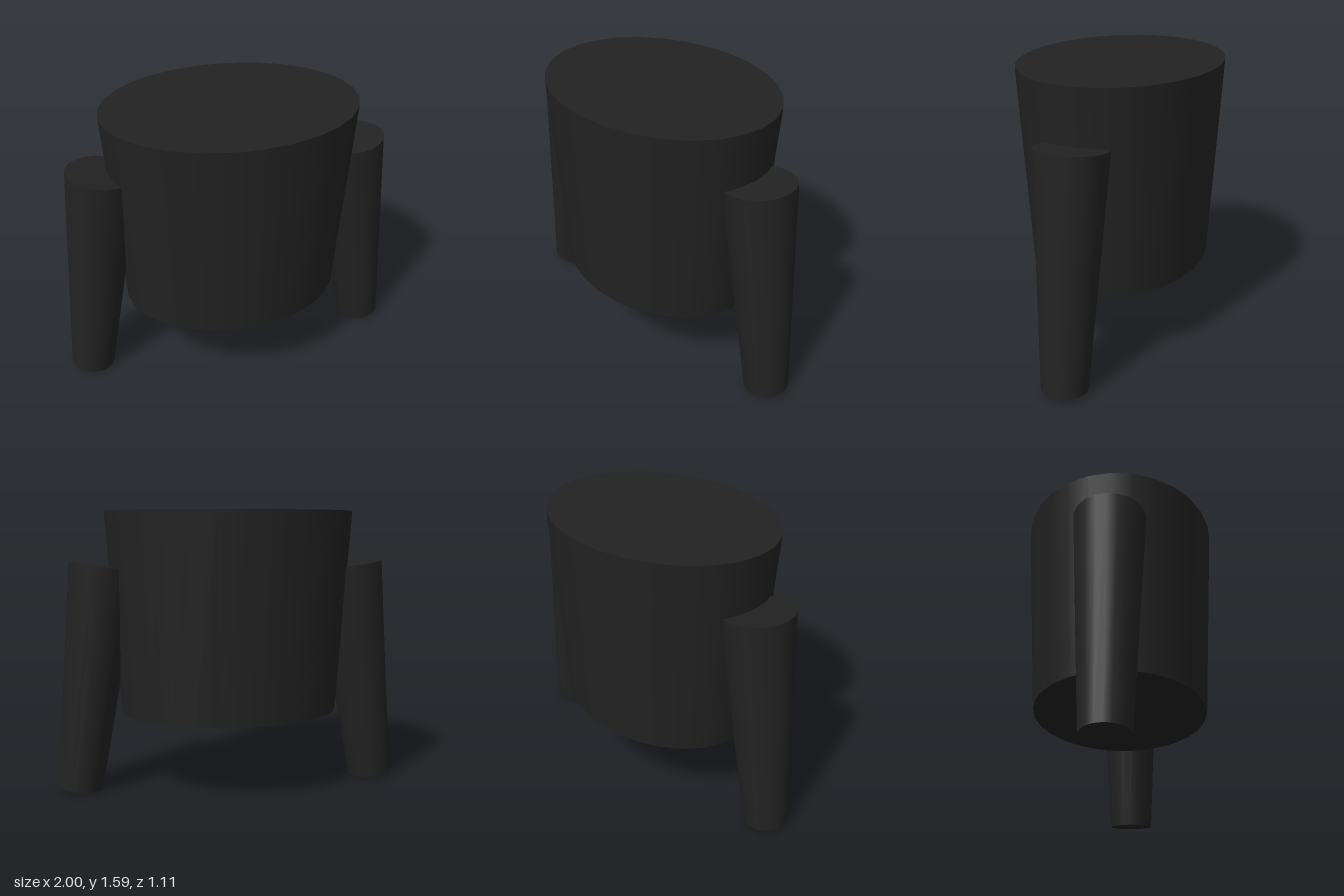
import * as THREE from 'three';

export function createModel() {
  const model = new THREE.Group();
  const charcoal = new THREE.MeshStandardMaterial({ color: 0x222222 });
  charcoal.name = 'charcoal';

  // Tapered torso with an oval cross-section
  const depth = 0.78;
  const torso = new THREE.Mesh(new THREE.CylinderGeometry(0.71, 0.628, 1.15, 28), charcoal);
  torso.name = 'torso';
  torso.scale.z = depth;
  torso.position.y = 1.02;
  model.add(torso);

  // Tapered sleeves leaning outwards at the bottom
  for (const side of [1, -1]) {
    const sleeve = new THREE.Mesh(new THREE.CylinderGeometry(0.195, 0.127, 1.283, 20), charcoal);
    sleeve.name = side > 0 ? 'leftSleeve' : 'rightSleeve';
    sleeve.position.set(side * 0.795, 0.653, 0);
    sleeve.rotation.z = side * 0.123;
    model.add(sleeve);
  }

  return model;
}
